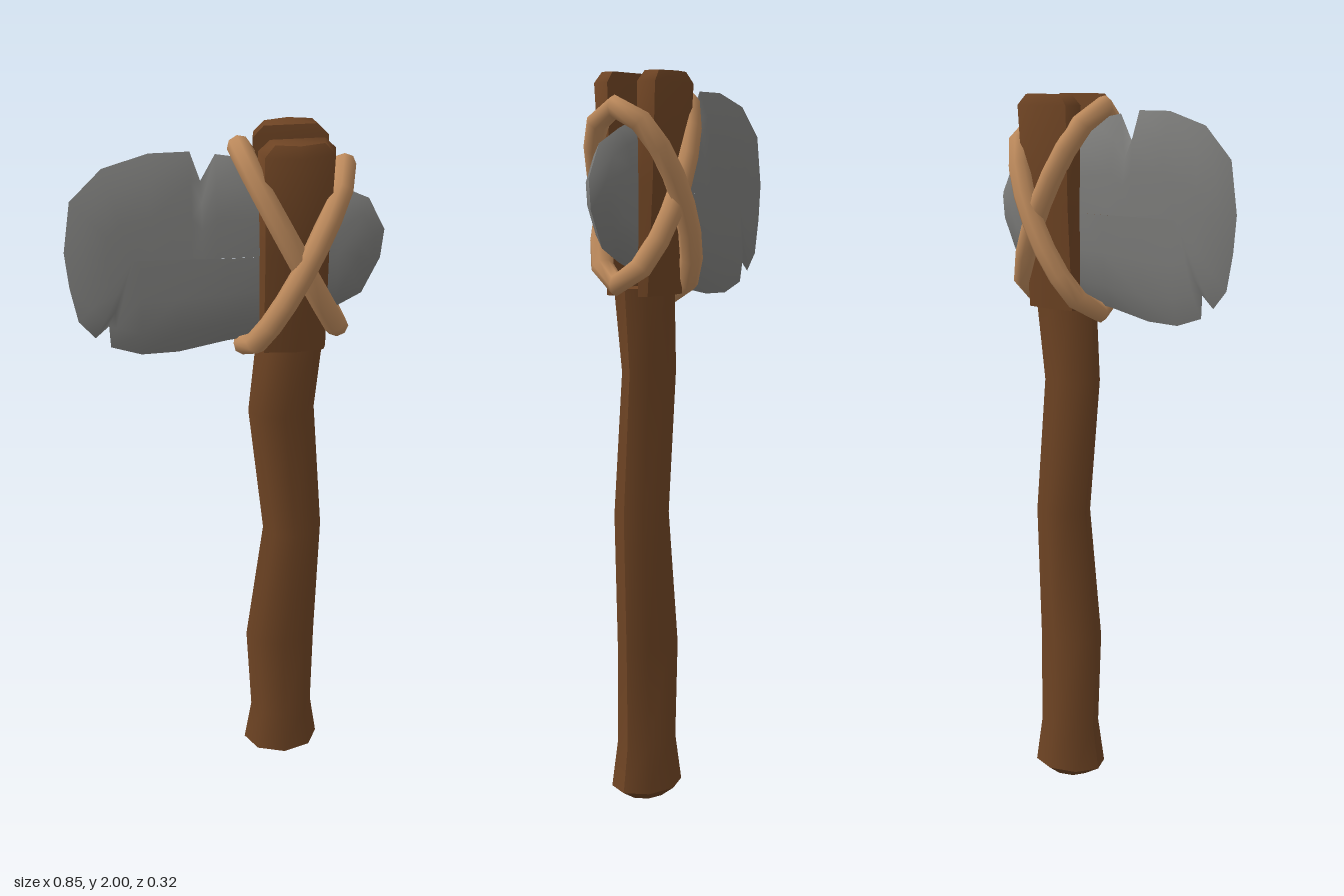
import * as THREE from 'three';
import { toCreasedNormals, mergeGeometries, mergeVertices } from 'three/addons/utils/BufferGeometryUtils.js';

const wood = new THREE.MeshStandardMaterial({ name: 'wood', color: 0x6d4323 });
const stone = new THREE.MeshStandardMaterial({ name: 'stone', color: 0x7c7c7a });
const rope = new THREE.MeshStandardMaterial({ name: 'rope', color: 0xbd8a5c });

function buildGeometry(points, index) {
  const g = new THREE.BufferGeometry();
  g.setAttribute('position', new THREE.Float32BufferAttribute(points.flat(), 3));
  g.setIndex(index);
  return g;
}

// Skin a stack of rings (counter-clockwise from above, bottom to top) and cap both ends
function loft(rings) {
  const n = rings[0].length, top = (rings.length - 1) * n, index = [];
  for (let r = 0; r < rings.length - 1; r++) {
    for (let i = 0; i < n; i++) {
      const a = r * n + i, b = r * n + (i + 1) % n;
      index.push(a, b, b + n, a, b + n, a + n);
    }
  }
  for (let i = 1; i < n - 1; i++) {
    index.push(0, i + 1, i, top, top + i, top + i + 1);
  }
  return toCreasedNormals(buildGeometry(rings.flat(), index), 0.9);
}

// Crooked shaft: [y, centre x, half width, half depth]
function shaftGeometry() {
  const sections = [
    [0, 0.17, 0.06, 0.05], [0.03, 0.17, 0.112, 0.09], [0.16, 0.17, 0.092, 0.075],
    [0.43, 0.163, 0.102, 0.073], [0.81, 0.191, 0.084, 0.07], [1.2, 0.153, 0.092, 0.063],
    [1.43, 0.174, 0.092, 0.077],
  ];
  return loft(sections.map(([y, cx, hx, hz]) => Array.from({ length: 8 }, (_, i) => {
    const a = i * Math.PI / 4;
    return [cx + hx * Math.cos(a), y, -hz * Math.sin(a)];
  })));
}

// One side of the split head: [y, half width, inner z, outer z]
function prongGeometry(side) {
  const sections = [
    [1.41, 0.09, 0.042, 0.076], [1.7, 0.092, 0.046, 0.1],
    [1.97, 0.1, 0.048, 0.118], [2, 0.07, 0.052, 0.108],
  ];
  return loft(sections.map(([y, hx, zi, zo]) => {
    const zm = zi + (zo - zi) * 0.72;
    return [[-hx, zi], [-0.9 * hx, zm], [0, zo], [0.9 * hx, zm], [hx, zi]]
      .map(([x, z]) => [0.173 + side * x, y, side * z]);
  }));
}

// Chipped stone blade: outline tapers from a thick spine to a sharp rim
function bladeGeometry() {
  const outline = [
    [-0.425, 1.7], [-0.405, 1.84], [-0.32, 1.925], [-0.2, 1.96], [-0.095, 1.96], [-0.068, 1.88],
    [-0.03, 1.95], [0.08, 1.93], [0.18, 1.89], [0.29, 1.85], [0.375, 1.81], [0.42, 1.72],
    [0.412, 1.64], [0.365, 1.54], [0.29, 1.5], [0.18, 1.46], [0.08, 1.43], [0, 1.42],
    [-0.13, 1.395], [-0.23, 1.393], [-0.312, 1.42], [-0.315, 1.483], [-0.352, 1.45],
    [-0.395, 1.5], [-0.415, 1.6],
  ];
  const rings = [[1, 0], [0.75, 0.72], [0.4, 0.95], [0, 1]]; // [scale, thickness]
  const n = outline.length;
  const halves = [1, -1].map((side) => {
    const points = [], index = [];
    for (const [s, t] of rings) {
      for (const [x, y] of outline) {
        const cx = THREE.MathUtils.clamp(x, -0.25, 0.3);
        const px = cx + (x - cx) * s;
        const thick = THREE.MathUtils.mapLinear(Math.min(px, 0), -0.42, 0, 0.018, 0.045);
        points.push([px, 1.68 + (y - 1.68) * s, side * t * thick]);
      }
    }
    for (let r = 0; r < rings.length - 1; r++) {
      for (let i = 0; i < n; i++) {
        const a = r * n + i, b = r * n + (i + 1) % n;
        if (side > 0) index.push(a, a + n, b, b, a + n, b + n);
        else index.push(a, b, a + n, b, b + n, a + n);
      }
    }
    const g = mergeVertices(buildGeometry(points, index));
    g.computeVertexNormals();
    return g;
  });
  return mergeGeometries(halves);
}

// Tilted elliptical binding around the head
class BindingCurve extends THREE.Curve {
  constructor(cx, cy, dx, dy, dz) {
    super();
    Object.assign(this, { cx, cy, dx, dy, dz });
  }
  getPoint(t, target = new THREE.Vector3()) {
    const a = t * Math.PI * 2, c = Math.cos(a);
    return target.set(this.cx + this.dx * c, this.cy + this.dy * c, this.dz * Math.sin(a));
  }
}

export function createModel() {
  const model = new THREE.Group();
  model.name = 'stoneAxe';
  const add = (name, geometry, material) => {
    const mesh = new THREE.Mesh(geometry, material);
    mesh.name = name;
    model.add(mesh);
  };

  add('handleShaft', shaftGeometry(), wood);
  add('frontProng', prongGeometry(1), wood);
  add('backProng', prongGeometry(-1), wood);
  add('blade', bladeGeometry(), stone);

  const bindings = { lowerBinding: [0.167, 1.705, 0.136, -0.262, 0.112], upperBinding: [0.178, 1.655, 0.128, 0.25, 0.13] };
  for (const [name, p] of Object.entries(bindings)) {
    add(name, new THREE.TubeGeometry(new BindingCurve(...p), 16, 0.031, 8, true), rope);
  }
  return model;
}
